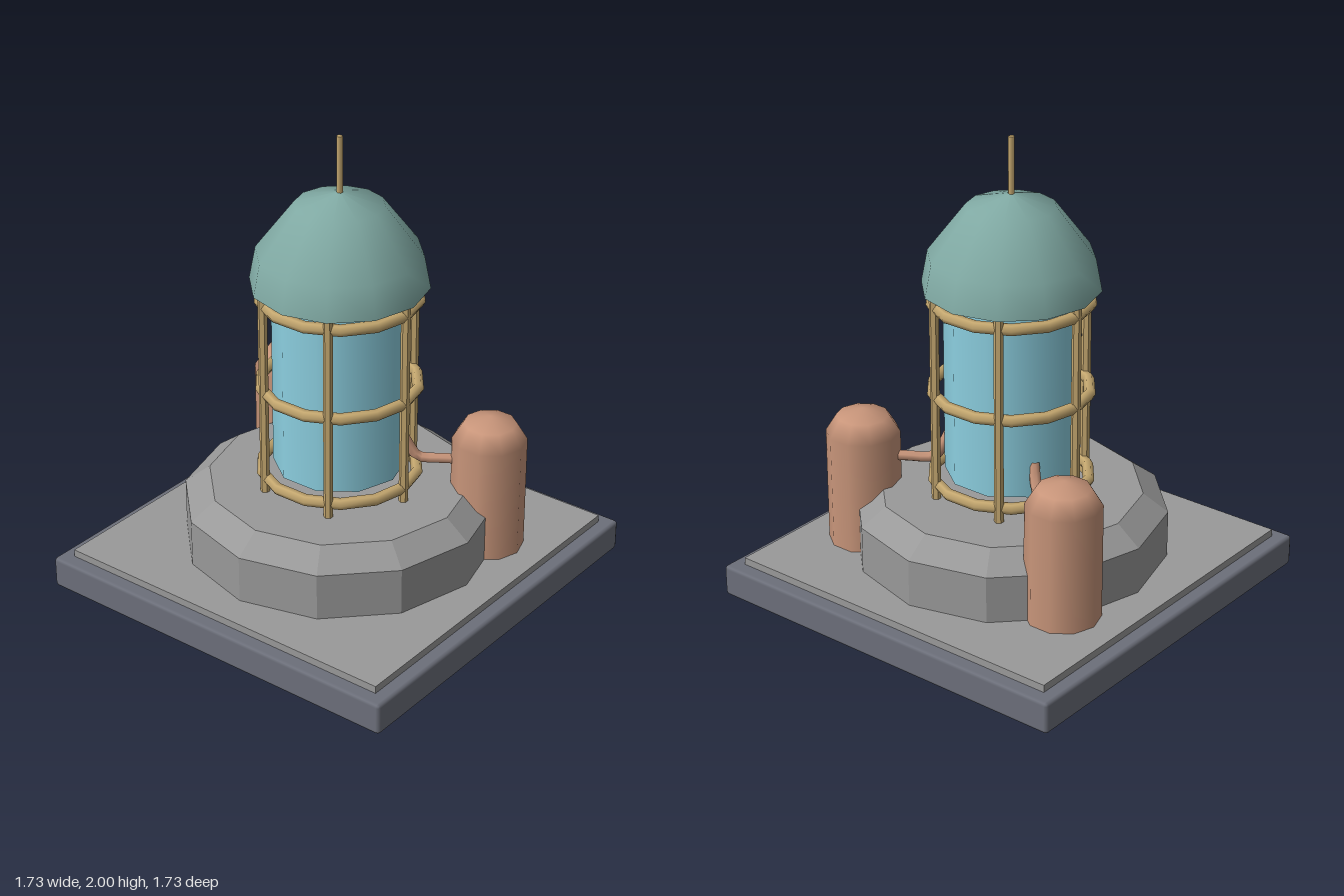
import * as THREE from 'three';
import { toCreasedNormals } from 'three/addons/utils/BufferGeometryUtils.js';
import { RoundedBoxGeometry } from 'three/addons/geometries/RoundedBoxGeometry.js';

const mat = (name, color, extra = {}) =>
  Object.assign(new THREE.MeshStandardMaterial({ color, ...extra }), { name });

export function createModel() {
  const model = new THREE.Group();
  model.name = 'lanternTower';

  const slate = mat('slate', 0x6c6f7a);
  const stone = mat('stone', 0x999999);
  const brass = mat('brass', 0xc4a76f);
  const glass = mat('blueGlass', 0x8ccfe0);
  const verdigris = mat('verdigris', 0x7fa8a2, { side: THREE.DoubleSide });
  const copper = mat('copper', 0xc8957a);

  const add = (name, geometry, material, x = 0, y = 0, z = 0) => {
    const mesh = new THREE.Mesh(geometry, material);
    mesh.name = name;
    mesh.position.set(x, y, z);
    model.add(mesh);
    return mesh;
  };
  const flat = (geometry) => toCreasedNormals(geometry, 0.2);
  // Capsule with flattened ends; body is the length of the straight wall
  const capsule = (r, body, squash, capSegments, sides) =>
    new THREE.CapsuleGeometry(r, body / squash, capSegments, sides).scale(1, squash, 1);

  // Square foundation
  add('base', new RoundedBoxGeometry(1.725, 0.138, 1.725, 1, 0.015), slate, 0, 0.069, 0);
  add('slab', new THREE.BoxGeometry(1.6, 0.07, 1.6), stone, 0, 0.135, 0);

  // Twelve-sided plinth with a sloping shoulder
  const plinth = [[0, 0.15], [0.665, 0.15], [0.665, 0.375], [0.558, 0.455], [0, 0.455]];
  add('plinth', flat(new THREE.LatheGeometry(plinth.map((p) => new THREE.Vector2(...p)), 12)), stone);

  // Glass chamber
  add('glassChamber', capsule(0.28, 0.752, 0.28, 1, 10), glass, 0, 0.91, 0);

  // Cage of six bars and three rings
  for (let i = 0; i < 6; i++) {
    const a = (i * Math.PI) / 3;
    add('cageBar', flat(new THREE.CylinderGeometry(0.02, 0.02, 0.99, 6)), brass,
      0.335 * Math.cos(a), 0.945, 0.335 * Math.sin(a));
  }
  for (const y of [0.513, 0.91, 1.31]) {
    add('cageRing', new THREE.TorusGeometry(0.33, 0.025, 6, 14).rotateX(Math.PI / 2), brass, 0, y, 0);
  }

  // Dome roof, open below, with a spire
  const dome = [[0.372, 1.36], [0.345, 1.5], [0.186, 1.708], [0, 1.763]];
  add('dome', new THREE.LatheGeometry(dome.map((p) => new THREE.Vector2(...p)), 12), verdigris);
  add('spire', new THREE.CylinderGeometry(0.013, 0.013, 0.3, 6), brass, 0, 1.85, 0);

  // Pair of tanks, each piped into the chamber
  for (const s of [1, -1]) {
    add(s > 0 ? 'leftTank' : 'rightTank', capsule(0.158, 0.502, 0.667, 2, 10), copper,
      s * 0.532, 0.421, -0.333);
    const path = new THREE.CatmullRomCurve3([
      [0.48, 0.565, -0.3], [0.38, 0.565, -0.238], [0.28, 0.57, -0.175],
      [0.25, 0.615, -0.155], [0.225, 0.68, -0.135],
    ].map(([x, y, z]) => new THREE.Vector3(s * x, y, z)));
    add(s > 0 ? 'leftPipe' : 'rightPipe', new THREE.TubeGeometry(path, 10, 0.024, 6), copper);
  }

  return model;
}
